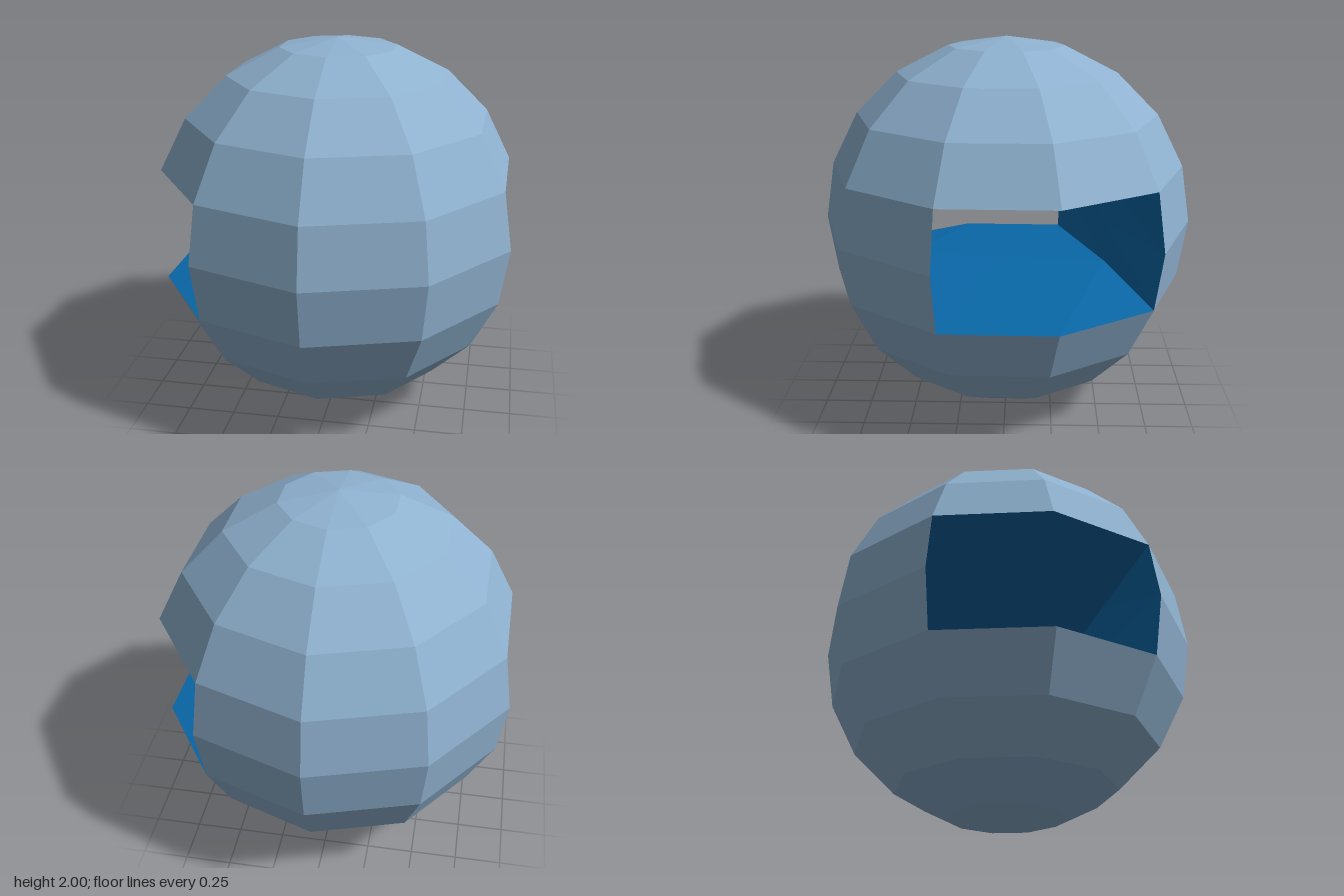
import * as THREE from 'three';

const SIDES = 10, STACKS = 10, TWIST = 1.15;

// point on the faceted ball: column k (from the back, turning to +x), row j from the top
function ballPoint(k, j) {
  const az = THREE.MathUtils.degToRad(TWIST + (360 / SIDES) * k);
  const polar = (Math.PI * j) / STACKS;
  const r = Math.sin(polar);
  return [Math.sin(az) * r, 1 + Math.cos(polar), -Math.cos(az) * r];
}

// quads given counter-clockwise from their visible side
function quadMesh(name, quads, color) {
  const pos = [];
  for (const [a, b, c, d] of quads) pos.push(...a, ...b, ...c, ...a, ...c, ...d);
  const geo = new THREE.BufferGeometry();
  geo.setAttribute('position', new THREE.Float32BufferAttribute(pos, 3));
  geo.computeVertexNormals();
  const mesh = new THREE.Mesh(geo, new THREE.MeshStandardMaterial({ color, flatShading: true }));
  mesh.name = name;
  return mesh;
}

export function createModel() {
  const group = new THREE.Group();
  group.name = 'piercedBall';

  // outer shell, leaving two openings of two columns by two rows
  const shell = [];
  for (let j = 0; j < STACKS; j++) {
    for (let k = 0; k < SIDES; k++) {
      const open = (j === 4 || j === 5) && (k % 5 === 1 || k % 5 === 2);
      if (open) continue;
      shell.push([ballPoint(k + 1, j), ballPoint(k + 1, j + 1), ballPoint(k, j + 1), ballPoint(k, j)]);
    }
  }
  group.add(quadMesh('shell', shell, 0x8fb2d0));

  // tunnel joining the openings, narrowing to a waist in the middle
  const rim = [[1, 4], [2, 4], [3, 4], [3, 5], [3, 6], [2, 6], [1, 6], [1, 5]];
  const waist = ([k, j]) => [0.05 * (2 - k), 1 + 0.225 * (5 - j), 0.54 * (k - 2)];
  const loops = [
    rim.map(([k, j]) => ballPoint(k, j)),
    rim.map(waist),
    rim.map(([k, j]) => ballPoint(9 - k, j)),
  ];
  const tunnel = [];
  for (let s = 0; s < 2; s++) {
    for (let i = 0; i < rim.length; i++) {
      const n = (i + 1) % rim.length;
      tunnel.push([loops[s][i], loops[s][n], loops[s + 1][n], loops[s + 1][i]]);
    }
  }
  group.add(quadMesh('tunnel', tunnel, 0x0a68a8));

  return group;
}
